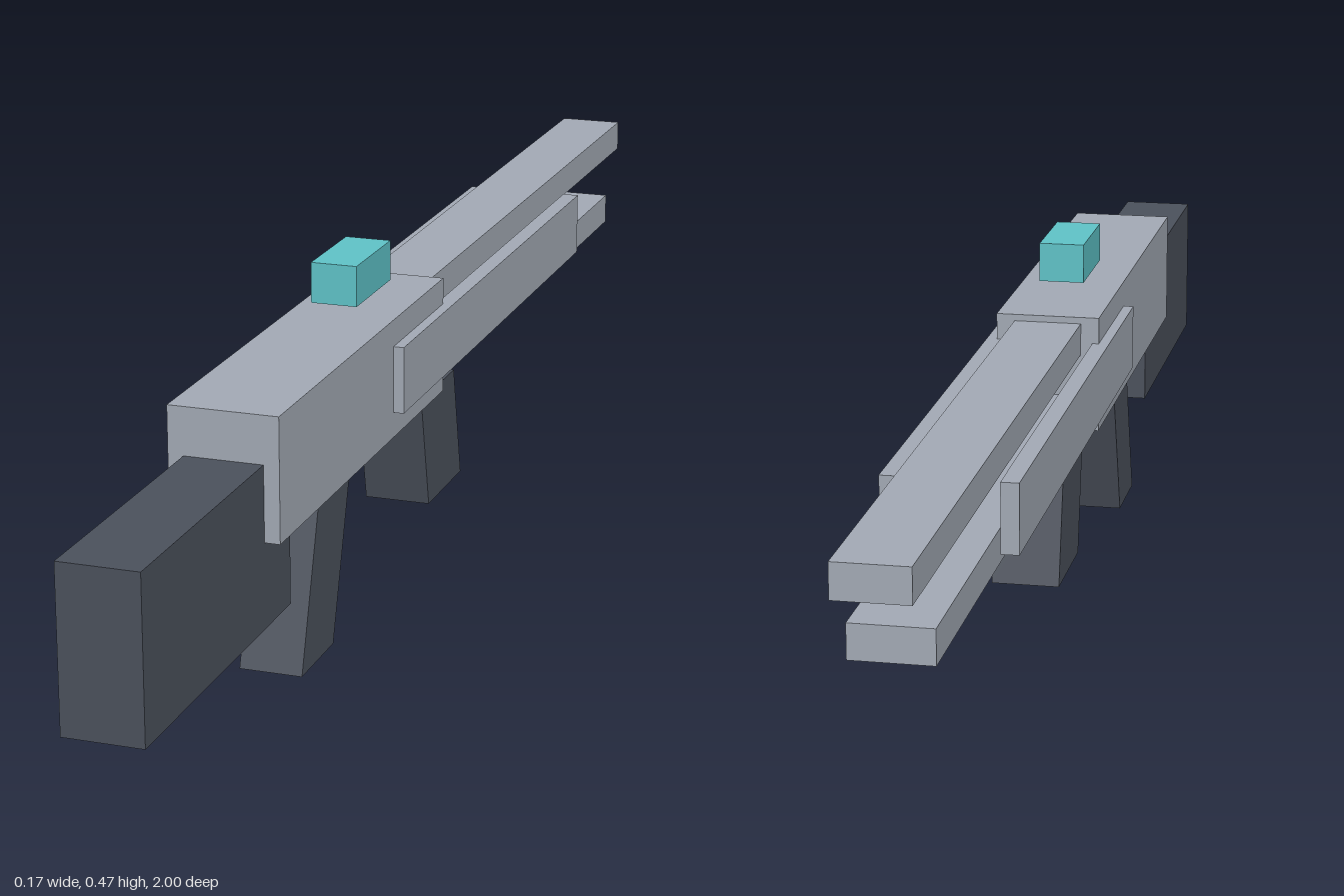
import * as THREE from 'three';

const makeMaterial = (name, color) => {
  const m = new THREE.MeshStandardMaterial({ color });
  m.name = name;
  return m;
};

export function createModel() {
  const grey = makeMaterial('light grey', 0xa3aab5);
  const dark = makeMaterial('dark slate', 0x4b515c);
  const teal = makeMaterial('teal', 0x5fc3c8);
  const model = new THREE.Group();
  model.name = 'toyBlaster';

  const add = (name, geometry, material) => {
    const mesh = new THREE.Mesh(geometry, material);
    mesh.name = name;
    model.add(mesh);
    return mesh;
  };

  // Box from its minimum and maximum corners
  const block = (name, material, [x0, x1], [y0, y1], [z0, z1]) =>
    add(name, new THREE.BoxGeometry(x1 - x0, y1 - y0, z1 - z0), material)
      .position.set((x0 + x1) / 2, (y0 + y1) / 2, (z0 + z1) / 2);

  // Box whose bottom slides along z by lean, making a slanted handle
  const slanted = (name, material, half, [y0, y1], [z0, z1], lean) => {
    const geometry = new THREE.BoxGeometry(half * 2, y1 - y0, z1 - z0);
    geometry.translate(0, (y0 + y1) / 2, (z0 + z1) / 2);
    const p = geometry.attributes.position;
    for (let i = 0; i < p.count; i++) {
      p.setZ(i, p.getZ(i) + lean * (y1 - p.getY(i)) / (y1 - y0));
    }
    geometry.computeVertexNormals();
    add(name, geometry, material);
  };

  // Body and stock
  block('body', grey, [-0.071, 0.071], [0.233, 0.393], [0.011, 0.635]);
  block('stock', dark, [-0.051, 0.051], [0.123, 0.331], [0.55, 1]);

  // Upper and lower bars reaching to the back
  block('upperBar', grey, [-0.046, 0.046], [0.34, 0.384], [-1, 0.02]);
  block('lowerBar', grey, [-0.051, 0.051], [0.238, 0.282], [-0.912, 0.02]);

  // Thin side rails, mirrored
  for (const [name, side] of [['leftRail', 1], ['rightRail', -1]]) {
    const x = [0.062 * side, 0.085 * side].sort((a, b) => a - b);
    block(name, grey, x, [0.267, 0.357], [-0.615, 0.219]);
  }

  // Floating sight
  block('sight', teal, [-0.031, 0.031], [0.415, 0.469], [0.115, 0.249]);

  // Slanted handles underneath
  slanted('rearGrip', dark, 0.042, [0, 0.234], [0.302, 0.417], 0.073);
  slanted('frontGrip', dark, 0.046, [0.06, 0.222], [-0.116, 0.029], -0.034);

  return model;
}
